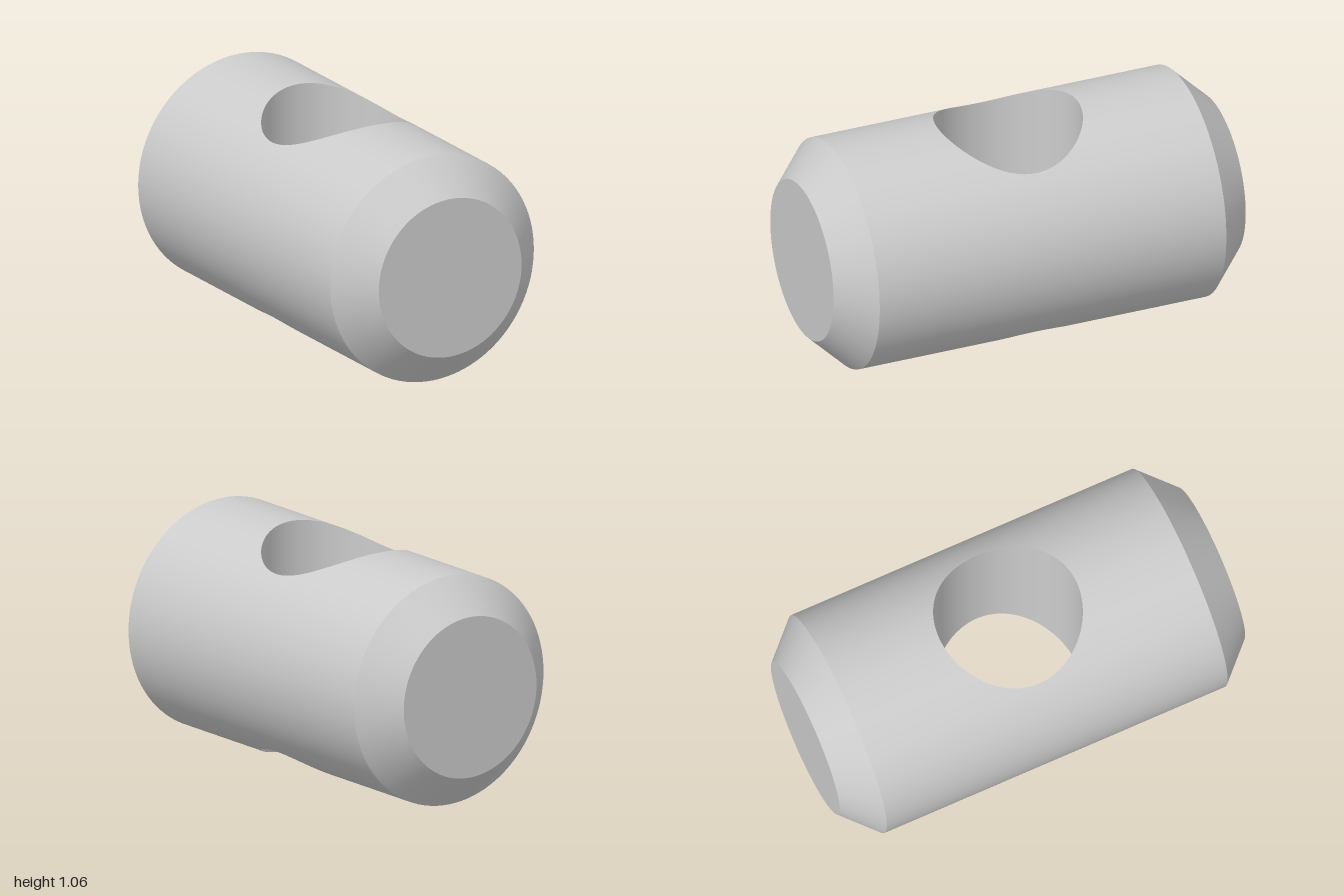
import * as THREE from 'three';

const R = 0.532;        // barrel radius
const FACE = 0.373;     // flat end radius
const HALF = 1;         // half length
const EDGE = 0.841;     // where the chamfers begin
const BORE = 0.336;     // cross hole radius
const SEG = 48;         // steps per side of the unrolled half barrel

const material = new THREE.MeshStandardMaterial({ color: 0xcccccc });

// Grid surface: fn(column, row 0..1) returns { p, n }
function gridSurface(cols, rows, fn) {
  const pos = [], nor = [], index = [];
  for (let j = 0; j <= cols; j++) {
    for (let i = 0; i <= rows; i++) {
      const { p, n } = fn(j, i / rows);
      pos.push(...p);
      nor.push(...n);
      if (j < cols && i < rows) {
        const a = j * (rows + 1) + i, b = a + 1, c = a + rows + 1, d = c + 1;
        index.push(a, c, b, b, c, d);
      }
    }
  }
  const g = new THREE.BufferGeometry();
  g.setAttribute('position', new THREE.Float32BufferAttribute(pos, 3));
  g.setAttribute('normal', new THREE.Float32BufferAttribute(nor, 3));
  g.setIndex(index);
  return g;
}

// Walk round the unrolled half barrel: angle t about the axis, position z,
// and the matching direction a round the cross hole
function rim(j) {
  const side = Math.floor(j / SEG) % 4;
  const s = ((j % SEG) / SEG) * 2 - 1;
  const [u, v] = [[1, s], [-s, 1], [-1, -s], [s, -1]][side];
  const t = u * Math.PI / 2, z = v * EDGE;
  return { t, z, a: Math.atan2(z, t * R) };
}

// Upper half of the barrel wall, stretched between the hole and the half's border
function wallGeometry() {
  return gridSurface(SEG * 4, 24, (j, k) => {
    const { t, z, a } = rim(j);
    const t0 = Math.asin(BORE * Math.cos(a) / R), z0 = BORE * Math.sin(a);
    const tt = t0 + (t - t0) * k, zz = z0 + (z - z0) * k;
    const n = [Math.sin(tt), Math.cos(tt), 0];
    return { p: [R * n[0], R * n[1], zz], n };
  });
}

// Upper half of the hole's inner wall, from the axis up to the saddle edge
function boreGeometry() {
  return gridSurface(SEG * 4, 1, (j, k) => {
    const { a } = rim(j);
    const x = BORE * Math.cos(a), z = BORE * Math.sin(a);
    return {
      p: [x, Math.sqrt(R * R - x * x) * k, z],
      n: [-Math.cos(a), 0, -Math.sin(a)],
    };
  });
}

export function createModel() {
  const model = new THREE.Group();
  model.name = 'crossDrilledBarrel';
  const add = (parent, name, geometry) => {
    const mesh = new THREE.Mesh(geometry, material);
    mesh.name = name;
    parent.add(mesh);
  };

  const wall = wallGeometry(), bore = boreGeometry();
  const chamfer = new THREE.LatheGeometry(
    [new THREE.Vector2(R, EDGE), new THREE.Vector2(FACE, HALF)], SEG * 2).rotateX(Math.PI / 2);
  const face = new THREE.CircleGeometry(FACE, SEG * 2).translate(0, 0, HALF);

  // Upper and lower halves of the barrel with the cross hole
  ['upper', 'lower'].forEach((name, i) => {
    const half = new THREE.Group();
    half.name = name + 'Half';
    add(half, name + 'BarrelWall', wall);
    add(half, name + 'CrossHole', bore);
    half.rotation.z = i * Math.PI;
    half.position.y = R;
    model.add(half);
  });

  // Chamfered ends
  ['front', 'back'].forEach((name, i) => {
    const end = new THREE.Group();
    end.name = name + 'End';
    add(end, name + 'Chamfer', chamfer);
    add(end, name + 'Face', face);
    end.rotation.y = i * Math.PI;
    end.position.y = R;
    model.add(end);
  });

  return model;
}
